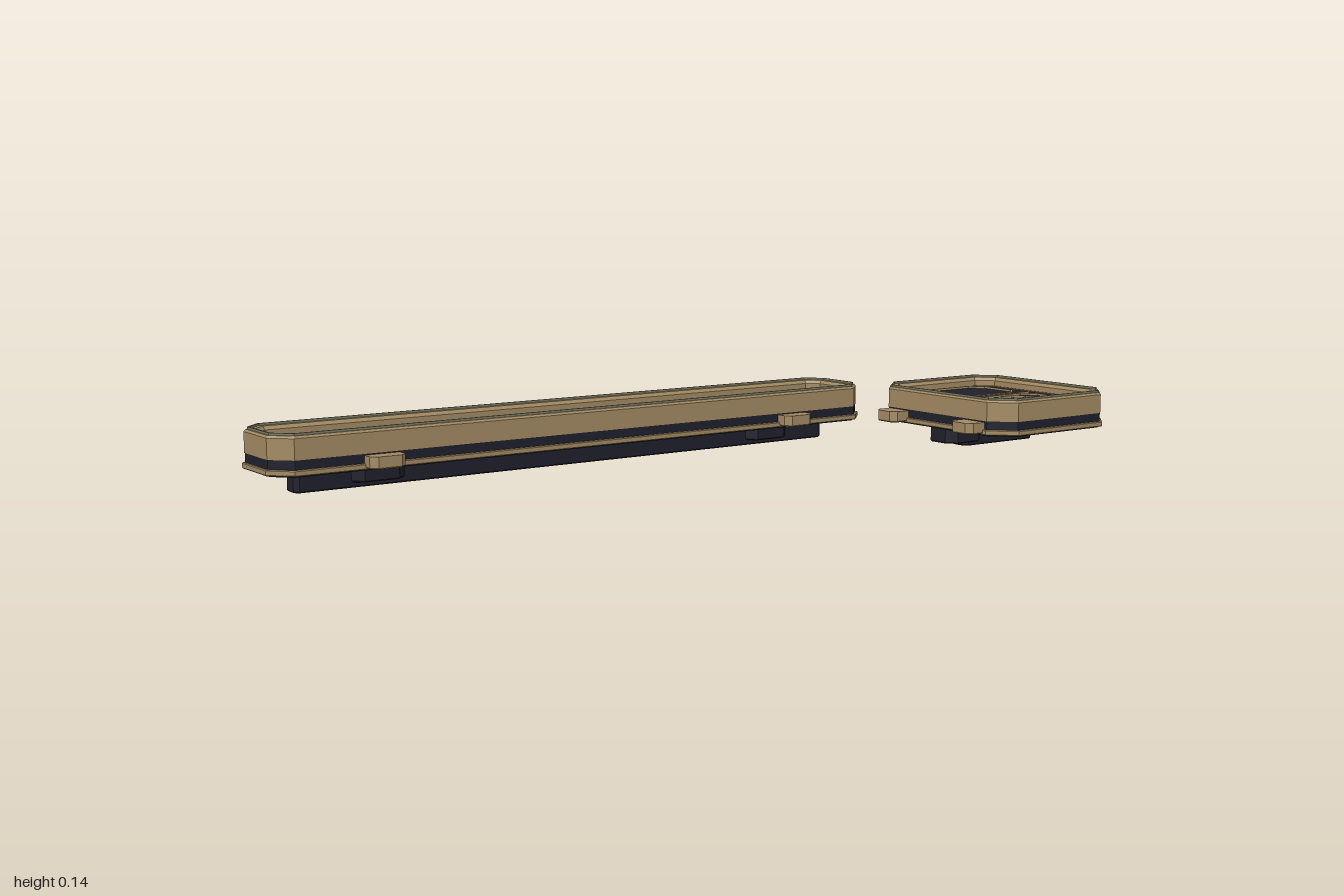
import * as THREE from 'three';

const mat = (name, color, side = THREE.FrontSide) => {
  const m = new THREE.MeshStandardMaterial({ color, side });
  m.name = name;
  return m;
};

// Corner points of a rectangle with chamfered corners, inset by d
function octagon(w, d, c, inset) {
  const x = w / 2 - inset, z = d / 2 - inset;
  const k = Math.max(0.002, c - inset * 0.586);
  return [[x, -z + k], [x, z - k], [x - k, z], [-x + k, z],
    [-x, z - k], [-x, -z + k], [-x + k, -z], [x - k, -z]];
}

// Skin chamfered loops along a profile of [inset, y], flat shaded, with optional caps
function loft(w, d, c, profile, capBottom = false, capTop = false) {
  const loops = profile.map(([inset, y]) => octagon(w, d, c, inset).map(([x, z]) => [x, y, z]));
  const pos = [];
  const tri = (...pts) => pts.forEach((p) => pos.push(...p));
  for (let i = 0; i < 8; i++) {
    const j = (i + 1) % 8;
    for (let k = 0; k < loops.length - 1; k++) {
      const lo = loops[k], hi = loops[k + 1];
      tri(lo[i], hi[i], hi[j]);
      tri(lo[i], hi[j], lo[j]);
    }
    const first = loops[0], last = loops[loops.length - 1];
    if (capBottom) tri([0, first[0][1], 0], first[i], first[j]);
    if (capTop) tri([0, last[0][1], 0], last[j], last[i]);
  }
  const g = new THREE.BufferGeometry();
  g.setAttribute('position', new THREE.Float32BufferAttribute(pos, 3));
  g.computeVertexNormals();
  return g;
}

const block = (w, d, c, y0, y1, bevel = 0.003) =>
  loft(w, d, c, [[bevel, y0], [0, y0 + bevel], [0, y1]], true, true);
const frame = (w, d, c, y0, y1, t) => loft(w, d, c, [[0, y0], [0, y1], [t, y1], [t, y0]]);

const FLOOR = 0.108;

export function createModel() {
  const tan = mat('tan', 0xa38a63);
  const navy = mat('navy', 0x20202c);
  const black = mat('black', 0x16161c);
  const sage = mat('sage', 0x7b7c66);

  const model = new THREE.Group();
  model.name = 'trayPair';
  const add = (parent, name, geometry, material, x = 0, y = 0, z = 0) => {
    const m = new THREE.Mesh(geometry, material);
    m.name = name;
    m.position.set(x, y, z);
    parent.add(m);
    return m;
  };

  // Shared shell: base, flange, dark band, raised rim and recessed floor
  function tray(name, x, z, w, d, c) {
    const g = new THREE.Group();
    g.name = name;
    g.position.set(x, 0, z);
    model.add(g);
    add(g, 'underside', block(w - 0.016, d - 0.016, c - 0.005, 0.047, 0.055), navy);
    add(g, 'flange', loft(w, d, c,
      [[0.008, 0.05], [0.002, 0.05], [0, 0.052], [0, 0.061], [0.002, 0.063], [0.012, 0.063]]), tan);
    add(g, 'darkBand', loft(w, d, c, [[0.006, 0.062], [0.006, 0.084]]), navy);
    add(g, 'rim', loft(w, d, c,
      [[0.007, 0.083], [0.005, 0.083], [0.005, 0.128], [0.009, 0.133], [0.026, 0.133], [0.032, 0.125], [0.032, FLOOR]]), tan);
    add(g, 'topTrim', frame(w - 0.024, d - 0.024, c - 0.007, 0.132, 0.138, 0.004), sage);
    add(g, 'floorBorder', loft(w, d, c, [[0.03, FLOOR]], false, true), black);
    add(g, 'floor', loft(w, d, c, [[0.044, FLOOR], [0.044, FLOOR + 0.003]], false, true), navy);
    add(g, 'floorLine', frame(w - 0.084, d - 0.084, c - 0.024, FLOOR, FLOOR + 0.005, 0.004), tan);
    return g;
  }

  // Underside rail running along x with chamfered blocks around it
  function rail(g, x0, x1, z, blocks, blockWidth) {
    add(g, 'rail', block(x1 - x0, 0.052, 0.01, 0, 0.05), navy, (x0 + x1) / 2, 0, z);
    for (const x of blocks)
      add(g, 'railBlock', block(blockWidth, 0.095, 0.022, 0.012, 0.05), navy, x, 0, z);
  }

  // Long tray
  const long = tray('longTray', -0.206, -0.227, 1.585, 0.215, 0.045);
  rail(long, -0.714, 0.706, 0, [-0.525, 0.525], 0.125);
  for (const x of [-0.55, 0.546])
    add(long, 'sideTab', block(0.082, 0.06, 0.014, 0.053, 0.08), tan, x, 0, 0.11);

  // Square tray
  const small = tray('squareTray', 0.801, 0.103, 0.396, 0.46, 0.055);
  rail(small, -0.12, 0.115, 0.002, [-0.13, 0.13], 0.115);
  for (const z of [-0.135, 0.13])
    add(small, 'sideTab', block(0.07, 0.07, 0.014, 0.053, 0.08), tan, -0.207, 0, z);

  // Two framed panels with a divider
  for (const z of [-0.094, 0.092])
    add(small, 'panelFrame', frame(0.226, 0.16, 0.032, FLOOR, FLOOR + 0.008, 0.005), tan, 0, 0, z);
  add(small, 'divider', new THREE.BoxGeometry(0.245, 0.008, 0.006), tan, 0, FLOOR + 0.004, 0);

  // Round ornament: ring and five-pointed star
  const ringProfile = [[0.047, 0], [0.053, 0], [0.053, 0.009], [0.047, 0.009], [0.047, 0]]
    .map(([r, y]) => new THREE.Vector2(r, y));
  const ring = new THREE.LatheGeometry(ringProfile, 24).toNonIndexed();
  ring.computeVertexNormals();
  add(small, 'ornamentRing', ring, tan, 0, FLOOR, 0.092);
  const star = new THREE.Shape(Array.from({ length: 10 }, (_, i) => {
    const a = Math.PI / 2 + i * Math.PI / 5, r = i % 2 ? 0.014 : 0.031;
    return new THREE.Vector2(Math.cos(a) * r, Math.sin(a) * r);
  }));
  const starGeometry = new THREE.ExtrudeGeometry(star, { depth: 0.009, bevelEnabled: false });
  starGeometry.rotateX(-Math.PI / 2);
  add(small, 'star', starGeometry, tan, 0, FLOOR, 0.092);

  return model;
}
